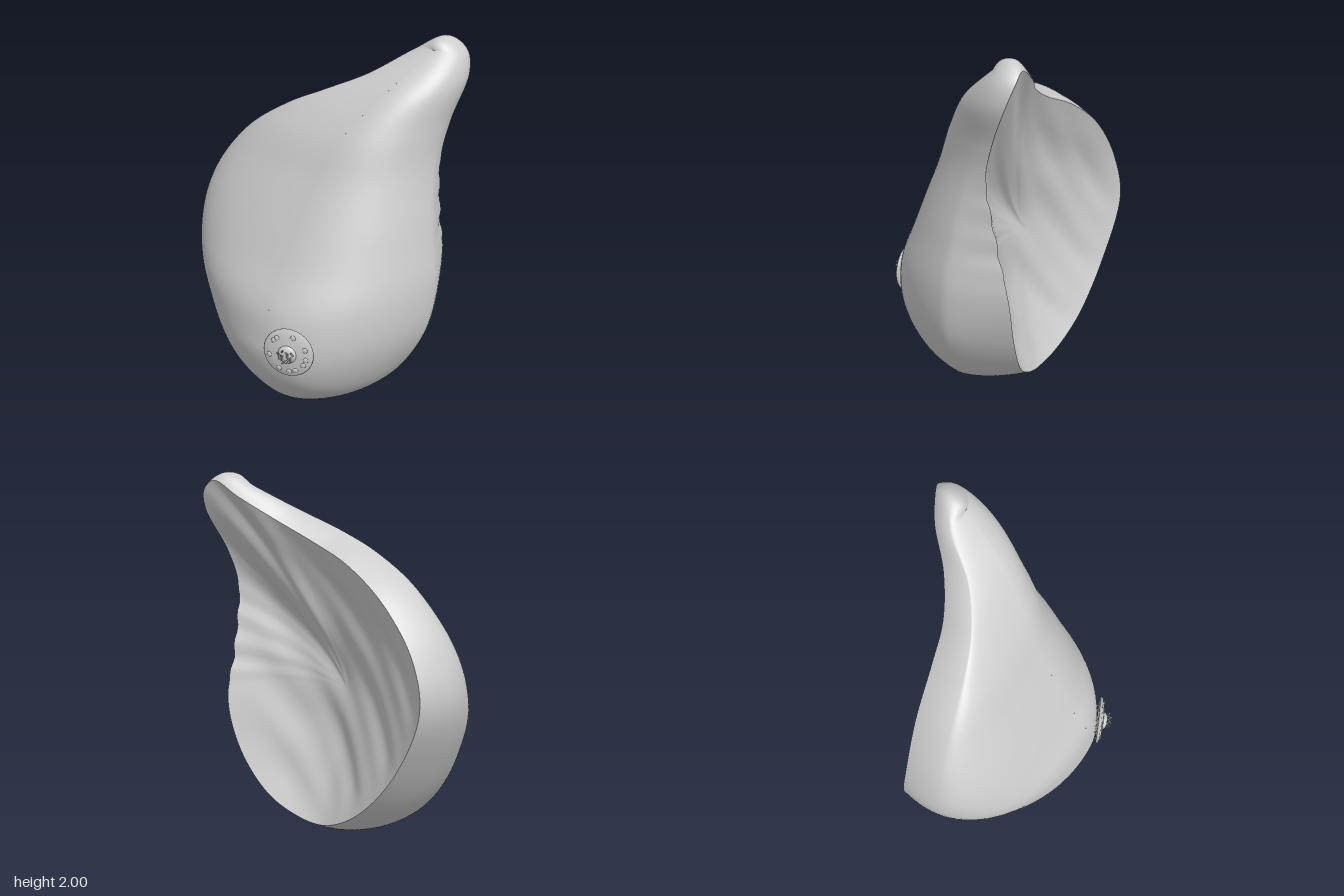
import * as THREE from 'three';

const AROUND = 200;
const grey = new THREE.MeshStandardMaterial({ color: 0xcccccc });
grey.name = 'plain grey';
grey.side = THREE.DoubleSide;

// widest outline, clockwise from the tip: x, y, z
const OUTLINE = [
  [0.5, 2, -0.51], [0.6, 1.93, -0.53], [0.64, 1.8, -0.48], [0.605, 1.57, -0.36], [0.598, 1.38, -0.29],
  [0.655, 1.02, -0.23], [0.695, 0.73, -0.21], [0.66, 0.45, -0.18], [0.5, 0.17, -0.09], [0.32, 0.055, 0],
  [0.12, 0, 0.04], [-0.1, 0.05, 0.05], [-0.34, 0.2, 0.05], [-0.55, 0.49, 0.03], [-0.7, 0.87, -0.02],
  [-0.64, 1.15, 0], [-0.45, 1.42, -0.03], [-0.2, 1.6, -0.07], [0, 1.7, -0.13], [0.2, 1.8, -0.25],
  [0.36, 1.92, -0.43],
];
// open back rim, matching the outline point for point
const RIM = [
  [0.51, 1.96, -0.59], [0.575, 1.91, -0.61], [0.61, 1.8, -0.58], [0.585, 1.57, -0.46], [0.57, 1.38, -0.405],
  [0.545, 1.02, -0.46], [0.53, 0.75, -0.52], [0.46, 0.47, -0.49], [0.33, 0.24, -0.41], [0.19, 0.14, -0.34],
  [0.05, 0.1, -0.28], [-0.1, 0.14, -0.26], [-0.3, 0.27, -0.24], [-0.52, 0.53, -0.21], [-0.67, 0.87, -0.2],
  [-0.61, 1.13, -0.2], [-0.42, 1.39, -0.23], [-0.18, 1.56, -0.26], [0.02, 1.65, -0.3], [0.22, 1.76, -0.4],
  [0.38, 1.88, -0.53],
];
// crest of the front, at even heights from the fullest point to the tail
const CREST = [
  [0.16, 0.48, 0.55], [0.15, 0.69, 0.51], [0.15, 0.9, 0.4], [0.17, 1.11, 0.29],
  [0.2, 1.32, 0.175], [0.26, 1.53, 0.06], [0.38, 1.74, -0.13], [0.49, 1.94, -0.41],
];

const toPoints = rows => rows.map(r => new THREE.Vector3(...r));

function loop(rows) {
  const curve = new THREE.CatmullRomCurve3(toPoints(rows), true);
  return Array.from({ length: AROUND }, (_, j) => curve.getPoint(j / AROUND));
}

// joins closed rings of points into a smooth skin
function skin(name, rings) {
  const geo = new THREE.BufferGeometry().setFromPoints(rings.flat());
  const index = [];
  for (let i = 0; i < rings.length - 1; i++) {
    for (let j = 0; j < AROUND; j++) {
      const a = i * AROUND + j, b = i * AROUND + (j + 1) % AROUND;
      const c = a + AROUND, d = b + AROUND;
      index.push(a, d, c, a, b, d);
    }
  }
  geo.setIndex(index);
  geo.computeVertexNormals();
  const mesh = new THREE.Mesh(geo, grey);
  mesh.name = name;
  return mesh;
}

function part(name, geo, parent, x = 0, y = 0, z = 0) {
  const mesh = new THREE.Mesh(geo, grey);
  mesh.name = name;
  mesh.position.set(x, y, z);
  parent.add(mesh);
  return mesh;
}

export function createModel() {
  const group = new THREE.Group();
  const step = THREE.MathUtils.smoothstep;
  const outline = loop(OUTLINE), rim = loop(RIM);
  // slightly ragged rim on the upper left flank
  rim.forEach(p => {
    if (p.x > 0.4) p.z += 0.008 * Math.sin(p.y * 40) * step(p.y, 0.8, 0.95) * (1 - step(p.y, 1.25, 1.45));
  });

  // each outline point runs in to the crest, easing into its lower end
  const crestCurve = new THREE.CatmullRomCurve3(toPoints(CREST));
  const crest = outline.map(p => {
    const climb = 0.07 * Math.log(1 + Math.exp((p.y - 0.48) / 0.07));
    return crestCurve.getPoint(Math.min(1, climb / 1.46));
  });
  // front dome: rounded from the crest out to the outline, squarer at the right shoulder
  const outer = [];
  for (let i = 0; i <= 36; i++) {
    const k = Math.sin((i / 36) * Math.PI / 2);
    outer.push(outline.map((p, j) => {
      const square = (1 - step(p.x, -0.3, 0.25)) * step(p.y, 0.5, 1.1);
      const q = crest[j].clone().lerp(p, k);
      q.z = p.z + (crest[j].z - p.z) * Math.sqrt(Math.max(0, 1 - Math.pow(k, 2 + square)));
      return q;
    }));
  }
  // side wall: curls in to the rim, flatter on the left flank
  for (let i = 1; i <= 12; i++) {
    const w = i / 12;
    outer.push(outline.map((p, j) => {
      const flat = step(p.x, 0.2, 0.6) * (1 - step(p.y, 1.1, 1.5));
      const q = p.clone().lerp(rim[j], Math.pow(w, 1.9 - 0.65 * flat));
      q.z = THREE.MathUtils.lerp(p.z, rim[j].z, w);
      return q;
    }));
  }
  group.add(skin('outerSkin', outer));

  // hollow back with diagonal folds, shallower in the tail
  const inner = [];
  const hollow = new THREE.Vector3(0, 0.85, -0.11);
  for (let i = 0; i <= 36; i++) {
    const k = 1 - i / 36;
    inner.push(rim.map(p => {
      const q = hollow.clone().lerp(p, k);
      const across = q.x - 0.9 * q.y, along = q.x + q.y;
      const fold = Math.sin(across * 13 + Math.sin(along * 3)) + 0.5 * Math.sin(across * 27 + along * 4);
      const power = 2.2 - 0.7 * step(p.y, 1.3, 1.85);
      q.z = p.z + (hollow.z - p.z) * (1 - Math.pow(k, power)) + 0.008 * fold * Math.min(1, (1 - k) * 4);
      return q;
    }));
  }
  group.add(skin('hollowBack', inner));

  // tilted round disc with small bumps and a central knob
  const disc = new THREE.Group();
  disc.name = 'areola';
  disc.position.set(0.3, 0.51, 0.53);
  disc.rotation.y = 0.36;
  group.add(disc);
  const profile = [[0.001, -0.012], [0.125, -0.012], [0.137, -0.004], [0.132, 0.005], [0.09, 0.016], [0.001, 0.026]];
  const plate = new THREE.LatheGeometry(profile.map(p => new THREE.Vector2(...p)), 40);
  plate.rotateX(Math.PI / 2);
  part('areolaDisc', plate, disc);

  const bump = new THREE.SphereGeometry(0.015, 12, 8);
  for (let i = 0; i < 15; i++) {
    const a = i * 2.4, r = i % 3 === 0 ? 0.07 : 0.1;
    part('bump', bump, disc, r * Math.cos(a), r * Math.sin(a), 0.013).scale.z = 0.4;
  }
  part('nipple', new THREE.SphereGeometry(0.05, 20, 12), disc, 0, 0, 0.022).scale.z = 0.45;

  // fine curled strands on the knob and behind the disc
  for (let i = 0; i < 10; i++) {
    const a = i * 2.4, r = 0.01 + 0.003 * i, c = Math.cos(a), s = Math.sin(a);
    const strand = (z0, z1) => new THREE.TubeGeometry(new THREE.CatmullRomCurve3([
      new THREE.Vector3(r * c, r * s, z0),
      new THREE.Vector3(r * c - 0.012 * s, r * s + 0.012 * c, (z0 + z1) / 2),
      new THREE.Vector3((r + 0.012) * c, (r + 0.012) * s, z1),
    ]), 8, 0.004, 6);
    part('frontStrand', strand(0.03, 0.07 - 0.002 * i), disc);
    part('backStrand', strand(-0.01, -0.05), disc, 0.05 * c, 0.05 * s, 0);
  }
  return group;
}
